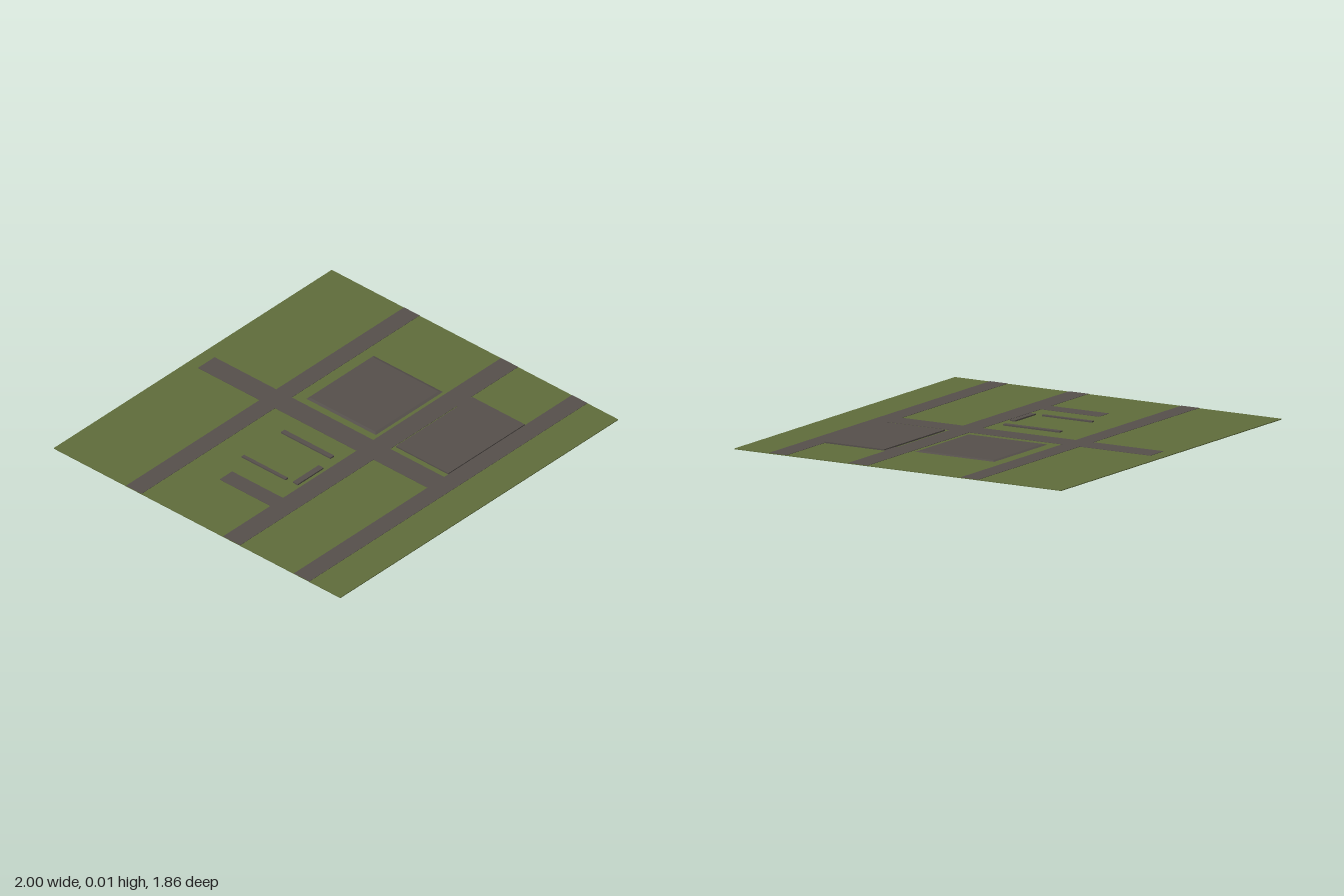
import * as THREE from 'three';

const GROUND = 0.004; // top of the grass slab
const ROAD = 0.0055; // top of the road plates

export function createModel() {
  const model = new THREE.Group();
  const grass = new THREE.MeshStandardMaterial({ name: 'grass green', color: 0x5f6c3b });
  const asphalt = new THREE.MeshStandardMaterial({ name: 'asphalt grey', color: 0x554f4b });

  // Box from its footprint and height range; inset narrows the top into a sloped rim
  function slab(name, material, [x0, x1], [z0, z1], y0, y1, inset = 0) {
    const w = x1 - x0, d = z1 - z0;
    let geometry = new THREE.BoxGeometry(w, y1 - y0, d);
    if (inset) {
      const p = geometry.attributes.position;
      for (let i = 0; i < p.count; i++) {
        if (p.getY(i) < 0) continue;
        p.setX(i, p.getX(i) - Math.sign(p.getX(i)) * inset);
        p.setZ(i, p.getZ(i) - Math.sign(p.getZ(i)) * inset);
      }
      geometry = geometry.toNonIndexed();
      geometry.computeVertexNormals();
    }
    const mesh = new THREE.Mesh(geometry, material);
    mesh.name = name;
    mesh.position.set((x0 + x1) / 2, (y0 + y1) / 2, (z0 + z1) / 2);
    model.add(mesh);
  }

  slab('ground', grass, [-1, 1], [-0.93, 0.93], 0, GROUND);

  // Cross streets running the full width
  [[-0.46, -0.36], [0.17, 0.28], [0.63, 0.73]].forEach((z, i) =>
    slab(`crossStreet${i + 1}`, asphalt, [-1, 1], z, GROUND, ROAD));

  // Main road, cut where it meets the cross streets
  [[-0.86, -0.46], [-0.36, 0.17], [0.28, 0.63]].forEach((z, i) =>
    slab(`mainRoad${i + 1}`, asphalt, [-0.04, 0.08], z, GROUND, ROAD));

  // Side lane and short driveway
  slab('sideLane', asphalt, [-0.66, -0.57], [-0.16, 0.17], GROUND, ROAD);
  slab('driveway', asphalt, [0.56, 0.66], [0.28, 0.29], GROUND, ROAD);

  // Paved lots
  slab('backLot', asphalt, [0.12, 0.603], [-0.3, 0.15], GROUND, 0.0085, 0.015);
  slab('frontLot', asphalt, [0.11, 0.66], [0.29, 0.63], GROUND, 0.011);

  // Low walls around the yard
  slab('leftYardWall', asphalt, [-0.452, -0.434], [-0.205, 0.08], GROUND, 0.011);
  slab('rightYardWall', asphalt, [-0.175, -0.148], [-0.2, 0.122], GROUND, 0.011);
  slab('frontYardWall', asphalt, [-0.443, -0.258], [0.12, 0.152], GROUND, 0.011);

  return model;
}
